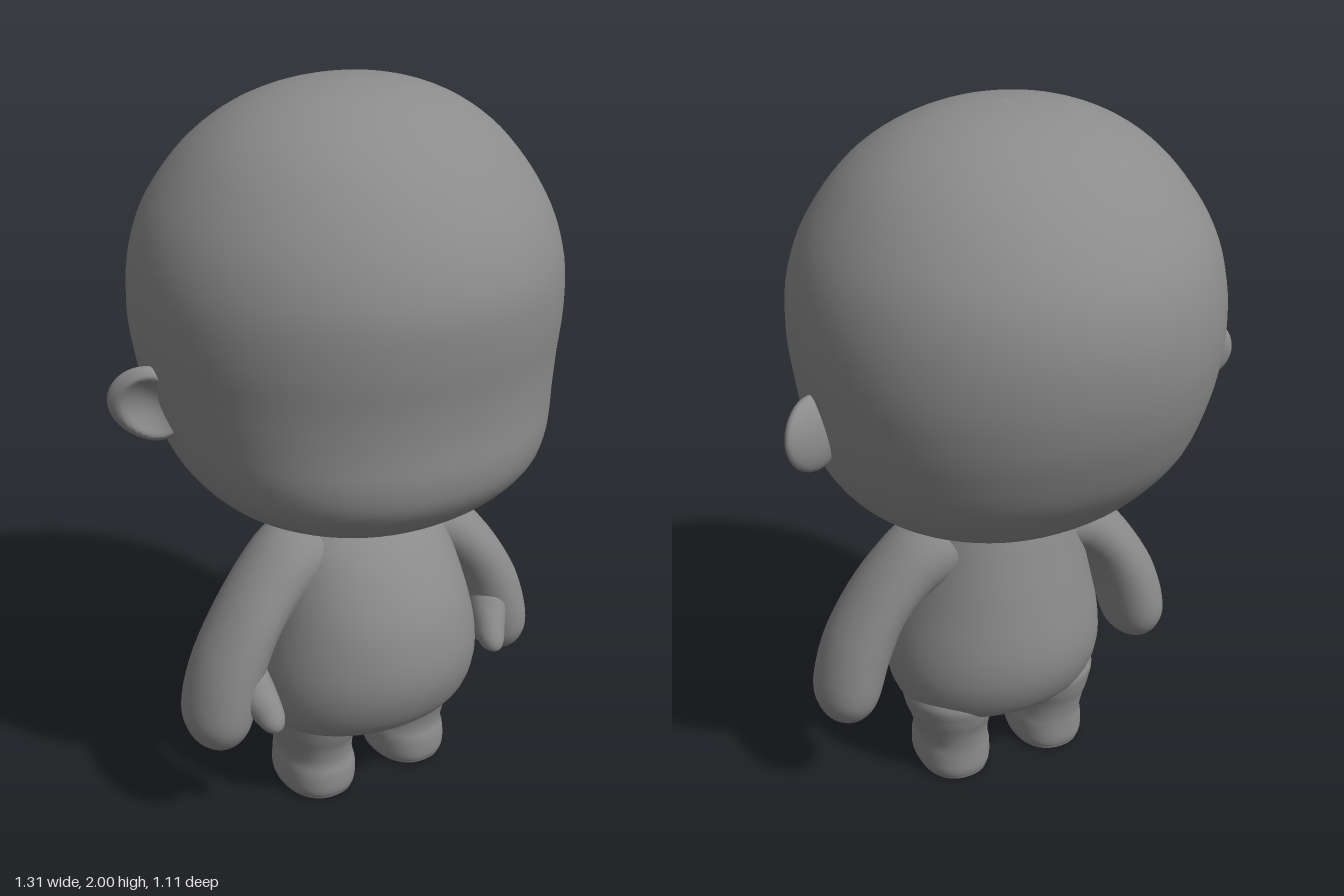
import * as THREE from 'three';

const material = new THREE.MeshStandardMaterial({ color: 0x8c8c8c });

// Smooth interpolation of a table of cross-section rows
function sampleRows(rows, steps) {
  const out = [], n = rows.length - 1;
  for (let i = 0; i < n; i++) {
    const [a, b, c, d] = [rows[Math.max(i - 1, 0)], rows[i], rows[i + 1], rows[Math.min(i + 2, n)]];
    for (let s = 0; s < steps; s++) {
      const t = s / steps;
      out.push(b.map((v, k) => v + 0.5 * t * (c[k] - a[k]
        + t * (2 * a[k] - 5 * v + 4 * c[k] - d[k] + t * (3 * (v - c[k]) + d[k] - a[k])))));
    }
  }
  out.push(rows[n]);
  return out;
}

// Skin closed rings; ringPoint(row, cos, sin, index, allRows) gives one point
function loft(rows, ringPoint, sides = 48, steps = 4) {
  const rings = sampleRows(rows, steps), pos = [], index = [];
  rings.forEach((row, i) => {
    for (let j = 0; j < sides; j++) {
      const a = (j / sides) * Math.PI * 2;
      pos.push(...ringPoint(row, Math.cos(a), Math.sin(a), i, rings));
      if (i === rings.length - 1) continue;
      const p = i * sides + j, q = i * sides + (j + 1) % sides;
      index.push(p, p + sides, q, q, p + sides, q + sides);
    }
  });
  const geo = new THREE.BufferGeometry();
  geo.setAttribute('position', new THREE.Float32BufferAttribute(pos, 3));
  geo.setIndex(index);
  geo.computeVertexNormals();
  return geo;
}

// Level ring from [y, xMin, xMax, zBack, zFront, squareness]
function levelRing([y, x0, x1, zb, zf, e], c, s) {
  const power = (v) => Math.sign(v) * Math.abs(v) ** (2 / e);
  return [(x0 + x1) / 2 + power(c) * (x1 - x0) / 2, y, (zb + zf) / 2 + power(s) * (zf - zb) / 2];
}
const symmetric = ([y, w, zb, zf, e = 2]) => [y, -w, w, zb, zf, e];

// Ring across a path in the xy plane from [x, y, z, radius, zRadius]
function pathRing([x, y, z, r, rz], c, s, i, rings) {
  const a = rings[Math.max(i - 1, 0)], b = rings[Math.min(i + 1, rings.length - 1)];
  const t = new THREE.Vector2(b[0] - a[0], b[1] - a[1]).normalize();
  return [x + t.y * r * c, y - t.x * r * c, z + rz * s];
}

function mirrored(geo) {
  const m = geo.clone().scale(-1, 1, 1), idx = m.index.array;
  for (let i = 0; i < idx.length; i += 3) [idx[i], idx[i + 1]] = [idx[i + 1], idx[i]];
  m.computeVertexNormals();
  return m;
}

// Ear: tilted oval, thicker at its root, with a hollow pressed into its front
function earGeometry() {
  const geo = new THREE.SphereGeometry(1, 40, 28);
  const p = geo.attributes.position;
  for (let i = 0; i < p.count; i++) {
    const x = p.getX(i), y = p.getY(i), z = p.getZ(i);
    const d = Math.hypot(x + 0.15, y);
    const hollow = z > 0 ? 1.2 * Math.max(0, 1 - (d / 0.8) ** 2) : 0;
    p.setXYZ(i, x * 0.098 - 0.012 * y * y, y * 0.103 + x * 0.008, (z - hollow) * (0.042 - 0.012 * x));
  }
  geo.rotateY(0.6);
  geo.rotateZ(-0.12);
  geo.translate(0.572, 1.234, -0.04);
  geo.computeVertexNormals();
  return geo;
}

export function createModel() {
  const model = new THREE.Group();
  const add = (name, geo) => {
    const mesh = new THREE.Mesh(geo, material);
    mesh.name = name;
    model.add(mesh);
  };
  const addPair = (name, geo) => {
    add('left' + name, geo);
    add('right' + name, mirrored(geo));
  };

  // Head: round skull, slightly flatter and fuller lower face
  add('head', loft([
    [0.847, 0, 0.04, 0.04], [0.853, 0.13, -0.1, 0.18], [0.87, 0.225, -0.185, 0.28, 2.05],
    [0.9, 0.315, -0.255, 0.37, 2.1], [0.95, 0.405, -0.325, 0.448, 2.15], [1.02, 0.47, -0.39, 0.507, 2.2],
    [1.1, 0.508, -0.448, 0.528, 2.2], [1.2, 0.535, -0.495, 0.528, 2.15], [1.3, 0.555, -0.53, 0.535, 2.1],
    [1.42, 0.57, -0.553, 0.552, 2.05], [1.55, 0.565, -0.553, 0.555], [1.67, 0.53, -0.518, 0.515],
    [1.78, 0.465, -0.445, 0.445], [1.87, 0.385, -0.353, 0.36], [1.94, 0.28, -0.245, 0.255],
    [1.985, 0.15, -0.12, 0.14], [2, 0, 0.015, 0.015],
  ].map(symmetric), levelRing, 64));

  addPair('Ear', earGeometry());

  // Torso: pear shape with a belly hanging forward
  add('torso', loft([
    [0.195, 0, 0.07, 0.07], [0.2, 0.16, -0.04, 0.16], [0.222, 0.25, -0.098, 0.24], [0.27, 0.3, -0.145, 0.325],
    [0.36, 0.323, -0.182, 0.375], [0.465, 0.318, -0.188, 0.39], [0.6, 0.288, -0.168, 0.365],
    [0.73, 0.256, -0.142, 0.298], [0.82, 0.232, -0.122, 0.23], [0.885, 0.19, -0.1, 0.16], [0.9, 0, 0.03, 0.03],
  ].map(symmetric), levelRing));

  // Legs: short stumps with slightly swollen feet and flat soles
  addPair('Leg', loft([
    [0, 0.155, 0.155, 0.065, 0.065, 2.3], [0, 0.07, 0.24, -0.045, 0.175, 2.3],
    [0.01, 0.057, 0.254, -0.06, 0.192, 2.3], [0.035, 0.05, 0.262, -0.067, 0.2, 2.3],
    [0.08, 0.05, 0.261, -0.067, 0.2, 2.3], [0.12, 0.056, 0.257, -0.069, 0.194, 2.2],
    [0.17, 0.05, 0.27, -0.078, 0.202, 2.1], [0.225, 0.03, 0.288, -0.095, 0.222, 2],
    [0.29, 0.03, 0.288, -0.095, 0.225, 2], [0.38, 0.1, 0.2, 0, 0.14, 2],
  ], levelRing, 40));

  // Arms: flare out of the shoulders and sweep down to mitten hands
  addPair('Arm', loft([
    [0.06, 0.76, 0.055, 0.085, 0.12], [0.14, 0.772, 0.058, 0.094, 0.13], [0.22, 0.745, 0.063, 0.098, 0.123],
    [0.29, 0.695, 0.07, 0.089, 0.117], [0.366, 0.606, 0.078, 0.085, 0.118], [0.43, 0.485, 0.08, 0.093, 0.12],
    [0.466, 0.37, 0.08, 0.093, 0.12], [0.474, 0.31, 0.082, 0.083, 0.106], [0.475, 0.265, 0.084, 0.052, 0.068],
    [0.474, 0.245, 0.085, 0, 0],
  ], pathRing, 36));

  // Thumbs: grow from the inner front of the wrist and point down
  addPair('Thumb', loft([
    [0.43, 0.53, 0.09, 0.03, 0.04], [0.415, 0.485, 0.11, 0.06, 0.075], [0.4, 0.44, 0.14, 0.058, 0.068],
    [0.382, 0.39, 0.175, 0.047, 0.056], [0.373, 0.355, 0.198, 0.039, 0.046],
    [0.369, 0.33, 0.21, 0.025, 0.03], [0.367, 0.319, 0.214, 0, 0],
  ], pathRing, 24));

  return model;
}
